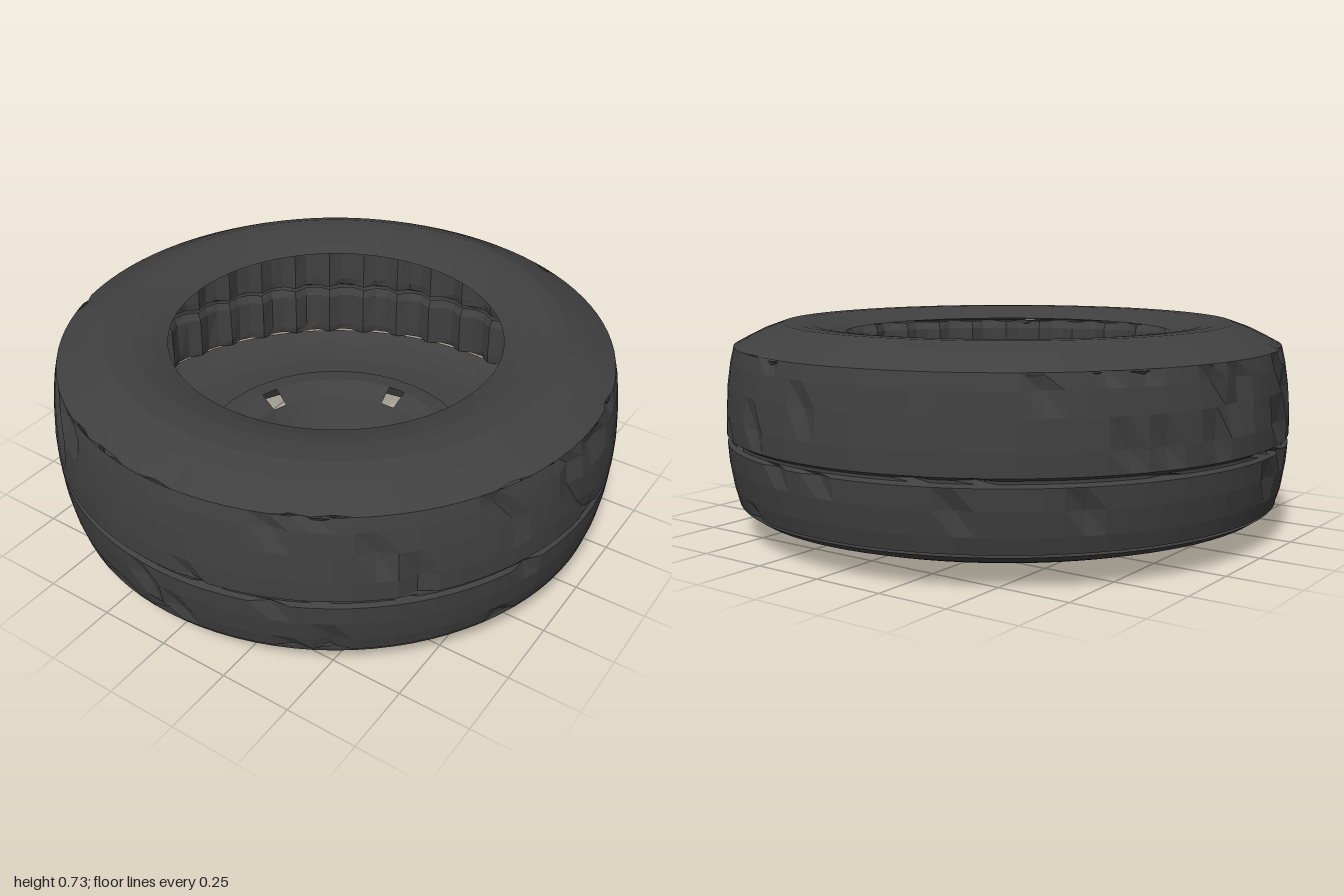
import * as THREE from 'three';

const rubber = new THREE.MeshStandardMaterial({ color: 0x404040, flatShading: true, side: THREE.DoubleSide });
const metal = new THREE.MeshStandardMaterial({ color: 0x404040, flatShading: true, side: THREE.DoubleSide });

// Small seeded generator for the worn, irregular tread
function seeded(seed) {
  return () => {
    seed = (seed * 16807) % 2147483647;
    return seed / 2147483647;
  };
}

// Profile of [radius, height] pairs turned around the y axis
function turned(profile, segments, phiStart = 0) {
  return new THREE.LatheGeometry(profile.map(([r, y]) => new THREE.Vector2(r, y)), segments, phiStart);
}

// Changes the radius of each lathe vertex by rule(column, row), closing the seam
function displace(geometry, rows, segments, rule) {
  const p = geometry.attributes.position;
  for (let i = 0; i < p.count; i++) {
    const row = i % rows, column = Math.floor(i / rows) % segments;
    const r = Math.hypot(p.getX(i), p.getZ(i));
    const k = (r + rule(column, row)) / r;
    p.setX(i, p.getX(i) * k);
    p.setZ(i, p.getZ(i) * k);
  }
  geometry.computeVertexNormals();
  return geometry;
}

export function createModel() {
  const model = new THREE.Group();
  const add = (name, geometry, material, parent = model) => {
    const mesh = new THREE.Mesh(geometry, material);
    mesh.name = name;
    parent.add(mesh);
    return mesh;
  };

  // Tread: outer band with a centre groove and scattered sipes
  const random = seeded(41);
  const treadProfile = [[0.965, 0.115], [0.98, 0.17], [0.993, 0.25], [0.998, 0.32], [0.985, 0.33],
    [0.985, 0.34], [1, 0.35], [1, 0.42], [0.992, 0.52], [0.98, 0.6], [0.968, 0.65]];
  const columns = 96;
  const sipes = Array.from({ length: columns }, () =>
    treadProfile.map(() => (random() < 0.07 ? -0.02 : 0)));
  add('tread', displace(turned(treadProfile, columns), treadProfile.length, columns,
    (c, r) => sipes[c][r]), rubber);

  // Shoulder lugs at the four diagonals are cut as alternate notches
  const upperProfile = [[0.968, 0.65], [0.93, 0.67], [0.87, 0.7], [0.8, 0.725], [0.75, 0.725],
    [0.7, 0.72], [0.64, 0.705], [0.585, 0.685]];
  add('upperSidewall', displace(turned(upperProfile, columns), upperProfile.length, columns,
    (c, r) => (r < 2 && sipes[c][r] ? -0.012 : 0)), rubber);

  // Lower sidewall, separated from the tread by a fine gap
  add('lowerSidewall', turned([[0.963, 0.108], [0.93, 0.085], [0.87, 0.066], [0.8, 0.055],
    [0.7, 0.055], [0.585, 0.06]], columns), rubber);

  // Ribbed inside of the tread, in two rows split by the centre groove
  [[0.12, 0.325], [0.345, 0.645]].forEach(([low, high], i) => {
    const profile = [[0.96, low], [0.955, low + 0.03], [0.955, high - 0.03], [0.97, high]];
    add(i ? 'upperInnerRibs' : 'lowerInnerRibs', displace(turned(profile, 120), 4, 120,
      (c) => (c % 3 ? 0 : -0.025) - 0.008 * random()), rubber);
  });

  // Wheel disc: raised ring falling into a central bowl, with vent holes
  const discSegments = 40;
  const discProfile = [[0.575, 0.06], [0.56, 0.1], [0.5, 0.195], [0.43, 0.2], [0.36, 0.165],
    [0.31, 0.09], [0.275, 0.045], [0.26, 0], [0, 0]];
  const disc = turned(discProfile, discSegments, -Math.PI / discSegments);
  const holeRow = 3;
  const vents = [0, 4, 8, 12, 28, 32, 20];
  const rows = discProfile.length - 1;
  const kept = [];
  const index = disc.index.array;
  for (let s = 0; s < discSegments; s++) {
    for (let r = 0; r < rows; r++) {
      if (r === holeRow && vents.includes(s)) continue;
      const start = (s * rows + r) * 6;
      kept.push(...index.slice(start, start + 6));
    }
  }
  disc.setIndex(kept);
  add('wheelDisc', disc, metal);

  // Hub floor plate and the ring of blocks around it
  const hub = new THREE.Group();
  hub.name = 'hub';
  model.add(hub);
  const plate = add('hubPlate', new THREE.CylinderGeometry(0.175, 0.175, 0.012, 8), metal, hub);
  plate.position.y = 0.008;
  plate.rotation.y = Math.PI / 8;
  for (let i = 0; i < 8; i++) {
    const angle = (i * Math.PI) / 4;
    const block = add('hubBlock', new THREE.BoxGeometry(0.13, 0.03, 0.055), metal, hub);
    block.position.set(Math.sin(angle) * 0.205, 0.017, Math.cos(angle) * 0.205);
    block.rotation.y = angle;
  }

  return model;
}
